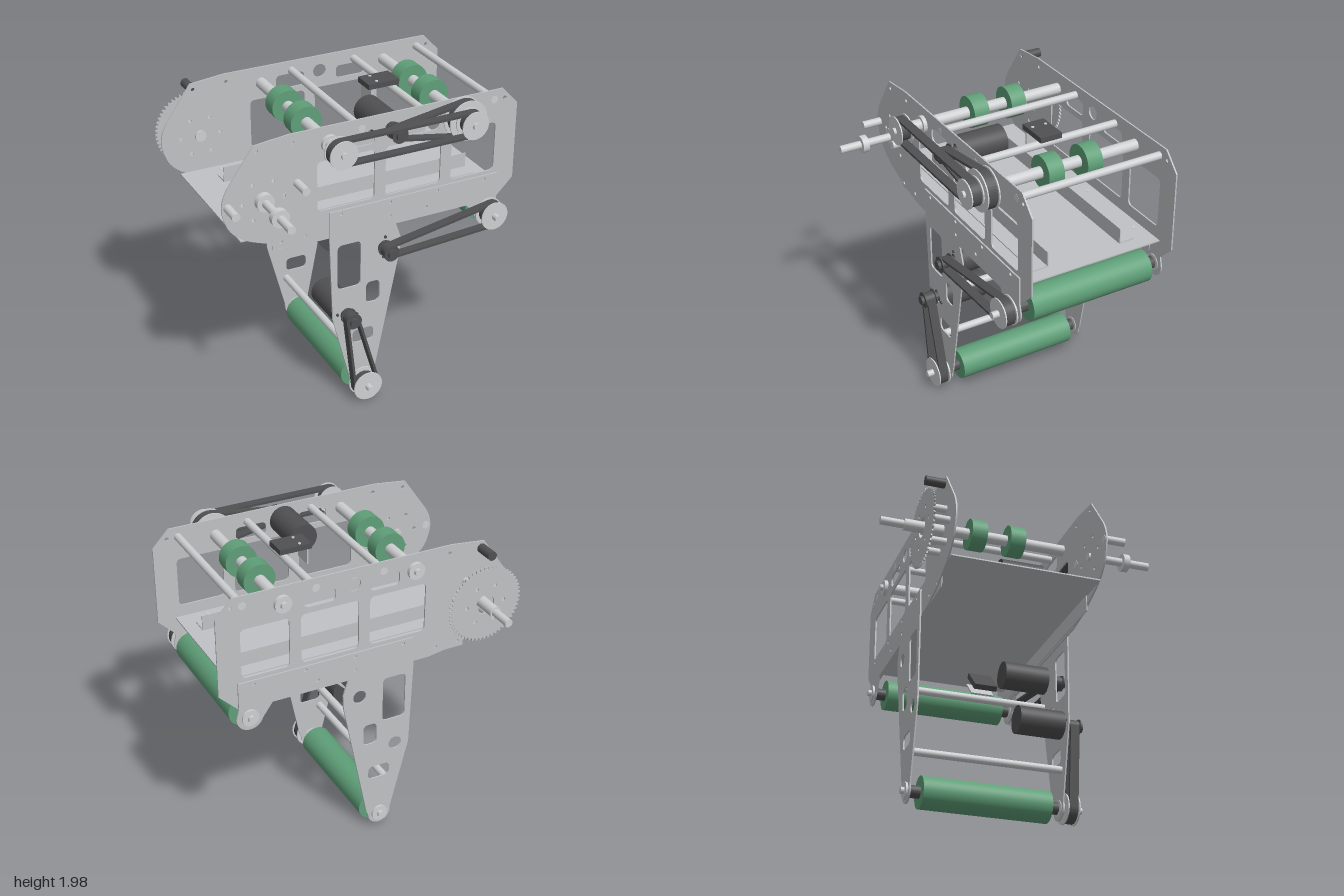
import * as THREE from 'three';

export function createModel() {
  const root = new THREE.Group();
  const mat = (name, color) => Object.assign(new THREE.MeshStandardMaterial({ color }), { name });
  const plateGrey = mat('plate grey', 0xbfc1c4);
  const steel = mat('steel', 0xcdcfd1);
  const dark = mat('dark grey', 0x505052);
  const green = mat('roller green', 0x5f9f78);

  const add = (name, geo, material) => {
    const m = new THREE.Mesh(geo, material);
    m.name = name;
    root.add(m);
    return m;
  };
  // cylinder along z between z0 and z1
  const rod = (name, x, y, z0, z1, r, material = steel, sides = 28) => {
    const g = new THREE.CylinderGeometry(r, r, Math.abs(z1 - z0), sides);
    g.rotateX(Math.PI / 2);
    g.translate(x, y, (z0 + z1) / 2);
    return add(name, g, material);
  };
  const box = (name, x0, x1, y0, y1, z0, z1, material) => {
    const g = new THREE.BoxGeometry(x1 - x0, y1 - y0, z1 - z0);
    g.translate((x0 + x1) / 2, (y0 + y1) / 2, (z0 + z1) / 2);
    return add(name, g, material);
  };
  const circleHole = (s, x, y, r) => s.holes.push(new THREE.Path().absarc(x, y, r, 0, Math.PI * 2, true));
  const window_ = (s, x0, x1, y0, y1, r = 0.03) => {
    const p = new THREE.Path();
    p.absarc(x0 + r, y0 + r, r, Math.PI * 1.5, Math.PI, true);
    p.absarc(x0 + r, y1 - r, r, Math.PI, Math.PI / 2, true);
    p.absarc(x1 - r, y1 - r, r, Math.PI / 2, 0, true);
    p.absarc(x1 - r, y0 + r, r, 0, -Math.PI / 2, true);
    p.closePath();
    s.holes.push(p);
  };
  const sheet = (name, shape, z, depth, material = plateGrey) => {
    const g = new THREE.ExtrudeGeometry(shape, { depth, bevelEnabled: false, curveSegments: 12 });
    g.translate(0, 0, z - depth / 2);
    return add(name, g, material);
  };

  // key axes
  const hub = [-0.735, 1.575], rearAxle = [-0.305, 1.855], frontAxle = [0.58, 1.855];
  const frontRoller = [0.81, 1.14], lowRoller = [-0.085, 0.11];
  const motors = [[0.11, 1.86, 0], [0.07, 1.06, 1.5], [-0.19, 0.635, -0.2]];
  const ring = [...Array(6)].map((_, i) => [hub[0] + 0.133 * Math.cos(i * Math.PI / 3), hub[1] + 0.133 * Math.sin(i * Math.PI / 3)]);

  // upper side plate outline
  const upper = new THREE.Shape();
  upper.moveTo(-0.42, 1.21);
  [[0.88, 1.21], [1, 1.33], [1, 1.85], [0.89, 1.965], [-0.56, 1.965], [-0.79, 1.94], [-0.96, 1.7]].forEach(p => upper.lineTo(...p));
  upper.splineThru([[-0.99, 1.63], [-0.995, 1.54], [-0.95, 1.42], [-0.85, 1.335], [-0.7, 1.275], [-0.58, 1.235]].map(p => new THREE.Vector2(...p)));
  window_(upper, -0.385, 0, 1.415, 1.745);
  window_(upper, 0.075, 0.46, 1.415, 1.745);
  window_(upper, 0.535, 0.85, 1.415, 1.745);
  window_(upper, -0.2, 0, 1.785, 1.88);
  window_(upper, 0.23, 0.44, 1.785, 1.87);
  circleHole(upper, 0.11, 1.86, 0.045);
  [...ring, [-0.77, 1.9], [-0.545, 1.91], [0.905, 1.9], [-0.63, 1.27], [-0.47, 1.27]].forEach(p => circleHole(upper, ...p, 0.012));

  // leg plate outline
  const leg = new THREE.Shape();
  leg.moveTo(-0.31, 1.39);
  [[-0.31, 1.2], [-0.29, 0.62], [-0.165, 0.13]].forEach(p => leg.lineTo(...p));
  leg.absarc(...lowRoller, 0.08, Math.PI, Math.PI * 2);
  [[0.01, 0.15], [0.18, 1.0], [0.185, 1.1], [0.15, 1.205], [0.66, 1.205]].forEach(p => leg.lineTo(...p));
  leg.absarc(...frontRoller, 0.088, Math.PI * 1.1, Math.PI * 2);
  leg.lineTo(0.88, 1.21);
  leg.lineTo(0.88, 1.39);
  window_(leg, -0.255, -0.095, 0.83, 1.145);
  window_(leg, -0.055, 0.04, 0.68, 0.83);
  window_(leg, -0.15, 0, 0.4, 0.495);
  circleHole(leg, 0.07, 1.06, 0.045);
  circleHole(leg, -0.19, 0.635, 0.045);
  [[-0.23, 1.365], [0.105, 1.365], [0.44, 1.365], [0.78, 1.365], [0.105, 1.27], [0.36, 1.27]].forEach(p => circleHole(leg, ...p, 0.012));

  for (const s of [1, -1]) {
    sheet('upperSidePlate', upper, s * 0.488, 0.01);
    sheet('legPlate', leg, s * 0.499, 0.01);
    // bearings, collars and axle ends
    for (const p of [rearAxle, frontAxle, frontRoller, lowRoller]) {
      rod('bearing', ...p, s * 0.49, s * 0.518, 0.055);
      rod('axleEnd', ...p, s * 0.5, s * 0.54, 0.022);
    }
    for (const p of [frontRoller, lowRoller]) rod('rollerCore', ...p, s * 0.41, s * 0.485, 0.04, dark);
    // guide rails on the tray, and the tray's side flanges
    box('railWeb', -0.68, 0.79, 1.335, 1.44, s * 0.255 - 0.003, s * 0.255 + 0.003, plateGrey);
    box('railFoot', -0.68, 0.79, 1.337, 1.344, s * 0.307 - 0.052, s * 0.307 + 0.052, plateGrey);
    box('trayFlange', -0.68, 0.79, 1.22, 1.33, s * 0.477 - 0.003, s * 0.477 + 0.003, plateGrey);
    [-0.625, 0.16, 0.68].forEach(x => {
      const g = new THREE.CylinderGeometry(0.011, 0.011, 0.005, 12);
      g.translate(x, 1.338, s * 0.43);
      add('trayScrew', g, steel);
    });
  }
  box('tray', -0.885, 0.88, 1.327, 1.336, -0.483, 0.483, plateGrey);

  // cross rods
  [[-0.09, 1.9], [0.36, 1.9], [0.83, 1.9], [0.12, 0.885], [-0.15, 0.345]].forEach(p => rod('crossRod', ...p, -0.494, 0.494, 0.025));

  // upper axles with drive wheels
  for (const p of [rearAxle, frontAxle]) {
    rod('axle', ...p, -0.49, 0.52, 0.037);
    rod('axleTip', ...p, 0.5, 0.705, 0.022);
    for (const s of [1, -1]) rod('driveWheel', ...p, s * 0.08, s * 0.185, 0.104, green, 36);
  }
  rod('axleSleeve', ...rearAxle, 0.5, 0.62, 0.037);

  // large rollers
  for (const p of [frontRoller, lowRoller]) {
    rod('roller', ...p, -0.42, 0.42, 0.104, green, 36);
    rod('axleTip', ...p, 0.5, 0.65, 0.022);
  }

  // pulleys and belts
  const pulley = (p, z, r, flange, material = steel) => {
    rod('pulleyCore', ...p, z - 0.034, z + 0.034, r - 0.016, dark);
    for (const s of [1, -1]) rod('pulleyFlange', ...p, z + s * 0.033, z + s * 0.041, flange, material, 40);
  };
  const loop = (path, a, ra, b, rb) => {
    const dx = b[0] - a[0], dy = b[1] - a[1], phi = Math.atan2(dy, dx);
    const t = Math.acos((ra - rb) / Math.hypot(dx, dy));
    path.absarc(a[0], a[1], ra, phi + t, phi + Math.PI * 2 - t);
    path.absarc(b[0], b[1], rb, phi - t, phi + t);
    path.closePath();
    return path;
  };
  const belt = (a, ra, b, rb, z) => {
    const s = loop(new THREE.Shape(), a, ra, b, rb);
    s.holes.push(loop(new THREE.Path(), a, ra - 0.016, b, rb - 0.016));
    sheet('belt', s, z, 0.06, dark);
  };
  const z1 = 0.565, z2 = 0.647;
  pulley(rearAxle, z2, 0.084, 0.091);
  pulley(frontAxle, z2, 0.084, 0.091);
  pulley(frontAxle, z1, 0.122, 0.13);
  pulley(frontRoller, z1, 0.087, 0.095);
  pulley(lowRoller, z1, 0.09, 0.1);
  belt(rearAxle, 0.084, frontAxle, 0.084, z2);
  belt(motors[0], 0.045, frontAxle, 0.122, z1);
  belt(motors[1], 0.045, frontRoller, 0.087, z1);
  belt(motors[2], 0.045, lowRoller, 0.09, z1);

  // motors with small pulleys and mounting screws
  for (const [x, y, a] of motors) {
    rod('motor', x, y, 0.18, 0.483, 0.092, dark, 36);
    pulley([x, y], z1, 0.045, 0.053, dark);
    rod('motorShaft', x, y, 0.48, 0.625, 0.03, dark);
    for (const s of [1, -1]) rod('motorScrew', x + s * 0.07 * Math.cos(a), y + s * 0.07 * Math.sin(a), 0.48, 0.512, 0.01, dark, 10);
  }

  // front pivot shaft and stop pegs
  rod('pivotShaft', ...hub, 0.47, 0.885, 0.026);
  rod('pivotCollar', ...hub, 0.49, 0.535, 0.057);
  rod('pivotCollar', ...hub, 0.7, 0.742, 0.057);
  rod('stopPeg', -0.96, 1.58, 0.48, 0.62, 0.026);
  rod('stopPeg', -0.515, 1.64, 0.48, 0.62, 0.026);

  // back pivot shaft, standoffs and toothed wheel
  rod('backShaftSleeve', ...hub, -0.47, -0.742, 0.037);
  rod('backShaft', ...hub, -0.74, -0.89, 0.026);
  ring.forEach(p => rod('standoff', ...p, -0.49, -0.615, 0.024));
  rod('darkPeg', -0.77, 1.895, -0.49, -0.62, 0.03, dark);
  const teeth = 54, gear = new THREE.Shape();
  for (let i = 0; i < teeth * 4; i++) {
    const a = (i / (teeth * 4)) * Math.PI * 2, r = i % 4 < 2 ? 0.255 : 0.238;
    gear[i ? 'lineTo' : 'moveTo'](hub[0] + r * Math.cos(a), hub[1] + r * Math.sin(a));
  }
  gear.closePath();
  circleHole(gear, ...hub, 0.065);
  ring.forEach(p => circleHole(gear, ...p, 0.013));
  sheet('toothedWheel', gear, -0.62, 0.01);

  // upper sensor with bracket
  box('upperSensor', 0.18, 0.395, 1.925, 1.96, -0.078, 0.07, dark);
  box('sensorBracket', 0.2, 0.21, 1.82, 1.925, -0.07, 0.06, plateGrey);
  for (const z of [-0.05, 0.04]) {
    const g = new THREE.CylinderGeometry(0.01, 0.01, 0.005, 10);
    g.translate(0.25, 1.962, z);
    add('sensorScrew', g, steel);
  }
  // tilted lower sensor with bracket
  const sensor = new THREE.Group();
  sensor.name = 'lowerSensor';
  const body = new THREE.Mesh(new THREE.BoxGeometry(0.19, 0.035, 0.15), dark);
  body.name = 'sensorBody';
  const bracket = new THREE.Mesh(new THREE.BoxGeometry(0.15, 0.009, 0.15), plateGrey);
  bracket.name = 'sensorMount';
  bracket.position.set(0.01, -0.06, 0);
  sensor.add(body, bracket);
  sensor.position.set(-0.055, 0.925, 0);
  sensor.rotation.z = Math.PI / 4;
  root.add(sensor);

  return root;
}
